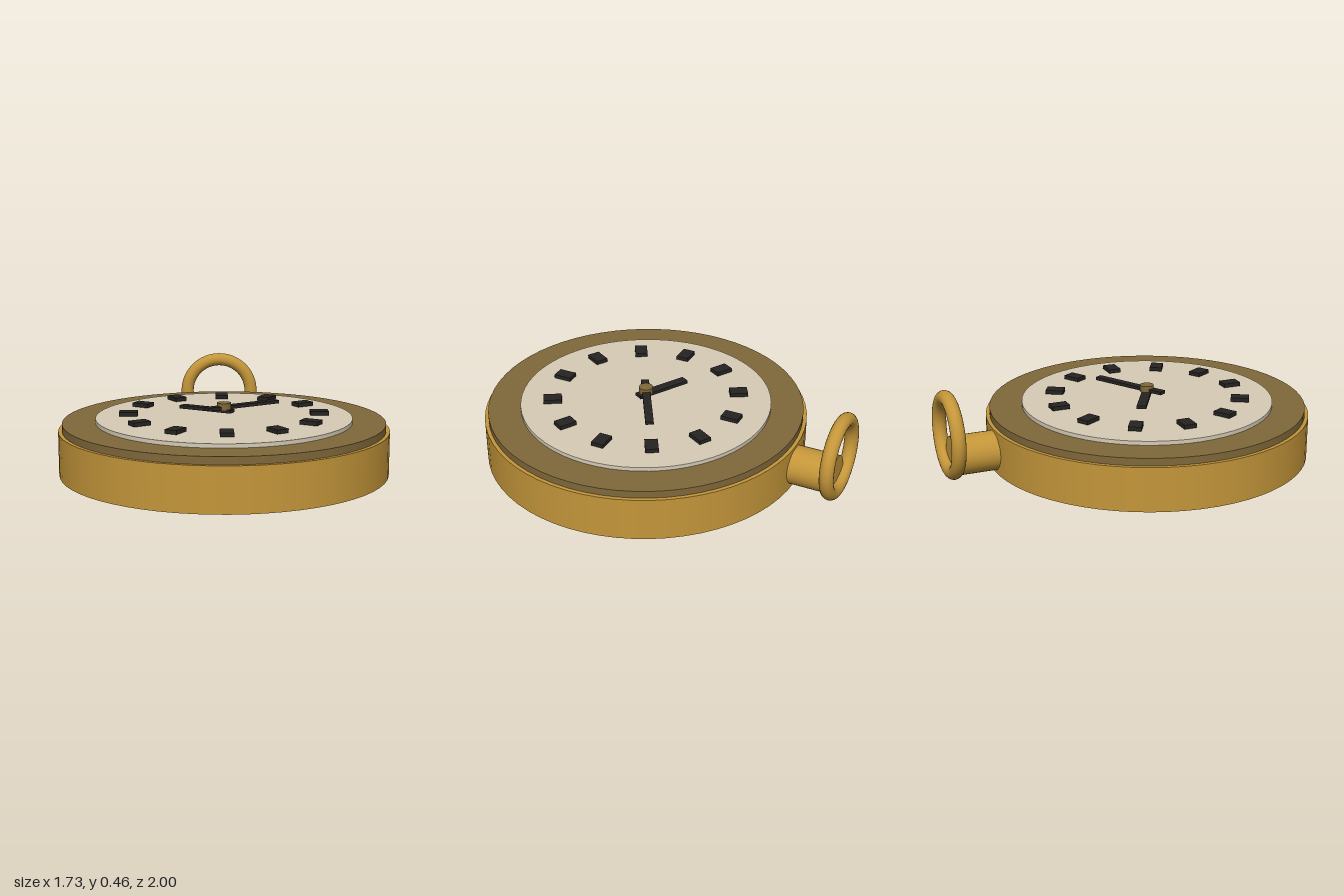
import * as THREE from 'three';

export function createModel() {
  const group = new THREE.Group();
  const gold = new THREE.MeshStandardMaterial({ color: 0xc4963a });
  const bronze = new THREE.MeshStandardMaterial({ color: 0x80683a });
  const ivory = new THREE.MeshStandardMaterial({ color: 0xd6ccb6 });
  const black = new THREE.MeshStandardMaterial({ color: 0x262422 });

  const add = (parent, name, geometry, material, x = 0, y = 0, z = 0) => {
    const mesh = new THREE.Mesh(geometry, material);
    mesh.name = name;
    mesh.position.set(x, y, z);
    parent.add(mesh);
    return mesh;
  };

  // Everything round sits on the axis of the case
  const watch = new THREE.Group();
  watch.name = 'watchBody';
  watch.position.z = 0.134;
  group.add(watch);

  const disc = (name, radius, y0, y1, material, sides = 64) =>
    add(watch, name, new THREE.CylinderGeometry(radius, radius, y1 - y0, sides), material, 0, (y0 + y1) / 2);

  disc('case', 0.865, 0, 0.231, gold);
  disc('bezel', 0.845, 0.231, 0.27, bronze);
  disc('dial', 0.672, 0.27, 0.291, ivory);

  // Twelve hour markers
  const markerShape = new THREE.BoxGeometry(0.068, 0.021, 0.096);
  for (let i = 0; i < 12; i++) {
    const a = (i * Math.PI) / 6;
    const marker = add(watch, 'hourMarker', markerShape, black, Math.sin(a) * 0.5, 0.307, -Math.cos(a) * 0.5);
    marker.rotation.y = -a;
  }

  // Hands, each with a short tail behind the hub
  const hand = (name, angle, tip, tail, width, y) => {
    const geometry = new THREE.BoxGeometry(width, 0.017, tip + tail);
    geometry.translate(0, 0, -(tip - tail) / 2);
    add(watch, name, geometry, black, 0, y).rotation.y = -angle;
  };
  hand('hourHand', -Math.PI / 3, 0.255, 0.05, 0.05, 0.32);
  hand('minuteHand', Math.PI / 3, 0.333, 0.106, 0.043, 0.337);
  disc('handHub', 0.037, 0.325, 0.362, bronze, 24);

  // Crown stem and hanging ring at the back
  const stem = add(group, 'crownStem', new THREE.CylinderGeometry(0.104, 0.104, 0.235, 32), gold, 0, 0.115, -0.8375);
  stem.rotation.x = Math.PI / 2;
  add(group, 'hangingRing', new THREE.TorusGeometry(0.193, 0.037, 20, 64), gold, 0, 0.231, -0.963);

  return group;
}
